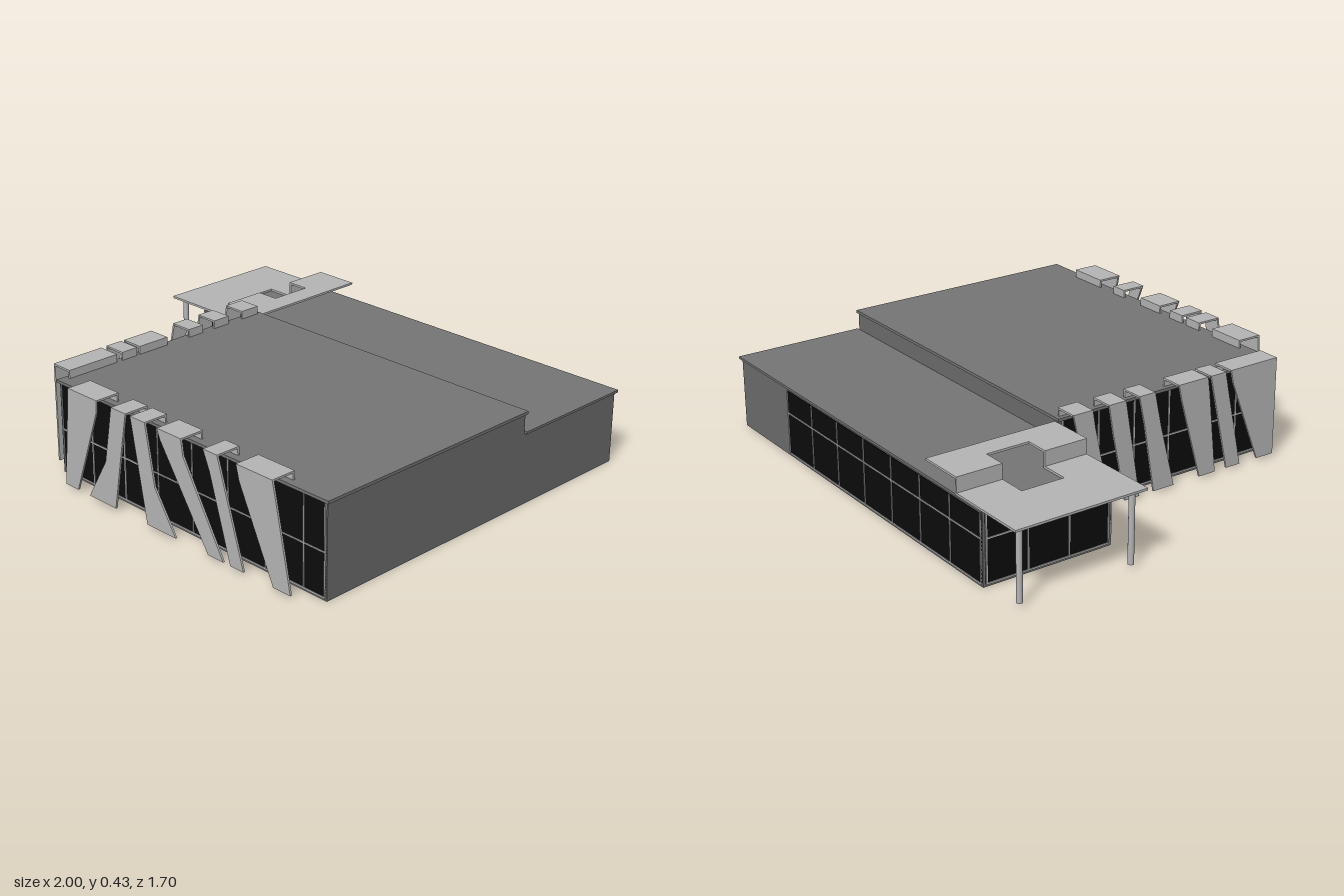
import * as THREE from 'three';

const mat = (name, color, side = THREE.FrontSide) => {
  const m = new THREE.MeshStandardMaterial({ color, side });
  m.name = name;
  return m;
};

export function createModel() {
  const model = new THREE.Group();
  model.name = 'building';
  const wall = mat('wall grey', 0x6c6c6c);
  const roof = mat('roof grey', 0x757575);
  const light = mat('pale panel', 0xb5b5b5);
  const glass = mat('black glass', 0x0c0c0c);

  // Box given by its minimum and maximum on each axis
  const box = (name, m, x0, x1, y0, y1, z0, z1, parent = model) => {
    const mesh = new THREE.Mesh(new THREE.BoxGeometry(x1 - x0, y1 - y0, z1 - z0), m);
    mesh.position.set((x0 + x1) / 2, (y0 + y1) / 2, (z0 + z1) / 2);
    mesh.name = name;
    parent.add(mesh);
    return mesh;
  };

  // Tall hall and lower rear block with their roof slabs
  box('hall', wall, -0.455, 0.99, 0, 0.38, -0.28, 0.77);
  box('rearBlock', wall, -0.78, 0.99, 0, 0.3, -0.84, -0.28);
  box('hallRoof', roof, -0.465, 1, 0.38, 0.392, -0.285, 0.778);
  box('rearRoof', roof, -0.79, 1, 0.298, 0.308, -0.85, -0.282);

  // Glazed wall: local x runs along the wall, local z points outwards
  function glazing(name, length, height, bars, x, z, turn) {
    const g = new THREE.Group();
    g.name = name;
    g.position.set(x, 0, z);
    g.rotation.y = turn;
    const h = length / 2;
    box('glass', glass, -h, h, 0.015, height, 0, 0.003, g);
    for (const b of [-h + 0.003, ...bars, h - 0.003]) {
      box('mullion', light, b - 0.003, b + 0.003, 0.015, height, 0, 0.006, g);
    }
    box('transom', light, -h, h, 0.187, 0.193, 0, 0.006, g);
    box('sill', light, -h, h, 0.01, 0.017, 0, 0.006, g);
    model.add(g);
  }
  const even = (length, n) => Array.from({ length: n - 1 }, (_, i) => -length / 2 + (length * (i + 1)) / n);

  glazing('frontGlazing', 1.43, 0.378, [-0.53, -0.34, -0.15, 0.04, 0.23, 0.42, 0.61], 0.27, 0.77, 0);
  glazing('sideGlazing', 1.03, 0.378, even(1.03, 6), -0.455, 0.25, -Math.PI / 2);
  glazing('wingFrontGlazing', 0.32, 0.29, [-0.03, 0.035, 0.1], -0.617, -0.28, 0);
  glazing('wingSideGlazing', 0.54, 0.29, even(0.54, 3), -0.78, -0.56, -Math.PI / 2);
  glazing('rearGlazing', 1.38, 0.285, even(1.38, 7), -0.085, -0.84, Math.PI);

  // Folded fin: slanted front plate, flat cap and short return onto the roof
  // left/right edges are [top, kneeOffset, kneeHeight, bottom]
  const T = 0.008;
  function fin(parent, [l0, lk, ly, l1], [r0, rk, ry, r1], depth) {
    const g = new THREE.Group();
    g.name = 'fin';
    const outline = [[l0, 0.426], [lk, ly], [l1, 0.012], [r1, 0.012], [rk, ry], [r0, 0.426]];
    const plate = new THREE.Mesh(
      new THREE.ExtrudeGeometry(
        new THREE.Shape(outline.map(([x, y]) => new THREE.Vector2(x, y))),
        { depth: T, bevelEnabled: false }
      ),
      light
    );
    plate.name = 'finPlate';
    plate.position.z = -T;
    g.add(plate);
    box('finCap', light, l0, r0, 0.418, 0.426, -depth, -T, g);
    box('finReturn', light, l0, r0, 0.39, 0.418, -depth, -depth + T, g);
    parent.add(g);
  }

  // Fins along the front
  const frontFins = new THREE.Group();
  frontFins.name = 'frontFins';
  frontFins.position.z = 0.848;
  [
    [[-0.305, -0.325, 0.22, -0.345], [-0.137, -0.14, 0.375, -0.27]],
    [[-0.052, -0.095, 0.19, -0.2], [0.03, -0.008, 0.22, -0.045]],
    [[0.057, 0.097, 0.22, 0.137], [0.138, 0.185, 0.18, 0.295]],
    [[0.205, 0.222, 0.385, 0.47], [0.335, 0.345, 0.36, 0.55]],
    [[0.452, 0.485, 0.35, 0.587], [0.525, 0.59, 0.22, 0.655]],
    [[0.622, 0.637, 0.365, 0.805], [0.802, 0.815, 0.37, 0.89]],
  ].forEach(([l, r]) => fin(frontFins, l, r, 0.108));
  model.add(frontFins);

  // Fins along the right side; local x equals the model's z
  const sideFins = new THREE.Group();
  sideFins.name = 'sideFins';
  sideFins.position.x = -0.535;
  sideFins.rotation.y = -Math.PI / 2;
  [
    [[-0.268, -0.25, 0.35, -0.16], [-0.178, -0.165, 0.35, -0.09]],
    [[-0.102, -0.08, 0.3, -0.02], [-0.022, 0, 0.3, 0.05]],
    [[0.042, 0.07, 0.3, 0.12], [0.118, 0.15, 0.28, 0.22]],
    [[0.235, 0.25, 0.36, 0.35], [0.38, 0.39, 0.36, 0.43]],
    [[0.395, 0.41, 0.36, 0.49], [0.47, 0.49, 0.33, 0.56]],
    [[0.498, 0.51, 0.37, 0.65], [0.735, 0.735, 0.3, 0.735]],
  ].forEach(([l, r]) => fin(sideFins, l, r, 0.098));
  model.add(sideFins);

  // Stepped canopy with a square opening across the step
  const canopy = new THREE.Group();
  canopy.name = 'canopy';
  for (const [z0, z1] of [[-0.855, -0.66], [-0.475, -0.288]]) {
    box('lowerPanel', light, -1, -0.635, 0.308, 0.317, z0, z1, canopy);
    box('riser', light, -0.643, -0.635, 0.317, 0.37, z0, z1, canopy);
    box('upperPanel', light, -0.643, -0.447, 0.37, 0.379, z0, z1, canopy);
  }
  box('lowerBridge', light, -1, -0.76, 0.308, 0.317, -0.66, -0.475, canopy);
  box('upperBridge', light, -0.543, -0.447, 0.37, 0.379, -0.66, -0.475, canopy);
  model.add(canopy);

  // Canopy columns
  for (const z of [-0.81, -0.325]) {
    const column = new THREE.Mesh(new THREE.CylinderGeometry(0.012, 0.012, 0.298, 16), light);
    column.position.set(-0.957, 0.161, z);
    column.name = 'canopyColumn';
    model.add(column);
  }
  return model;
}
